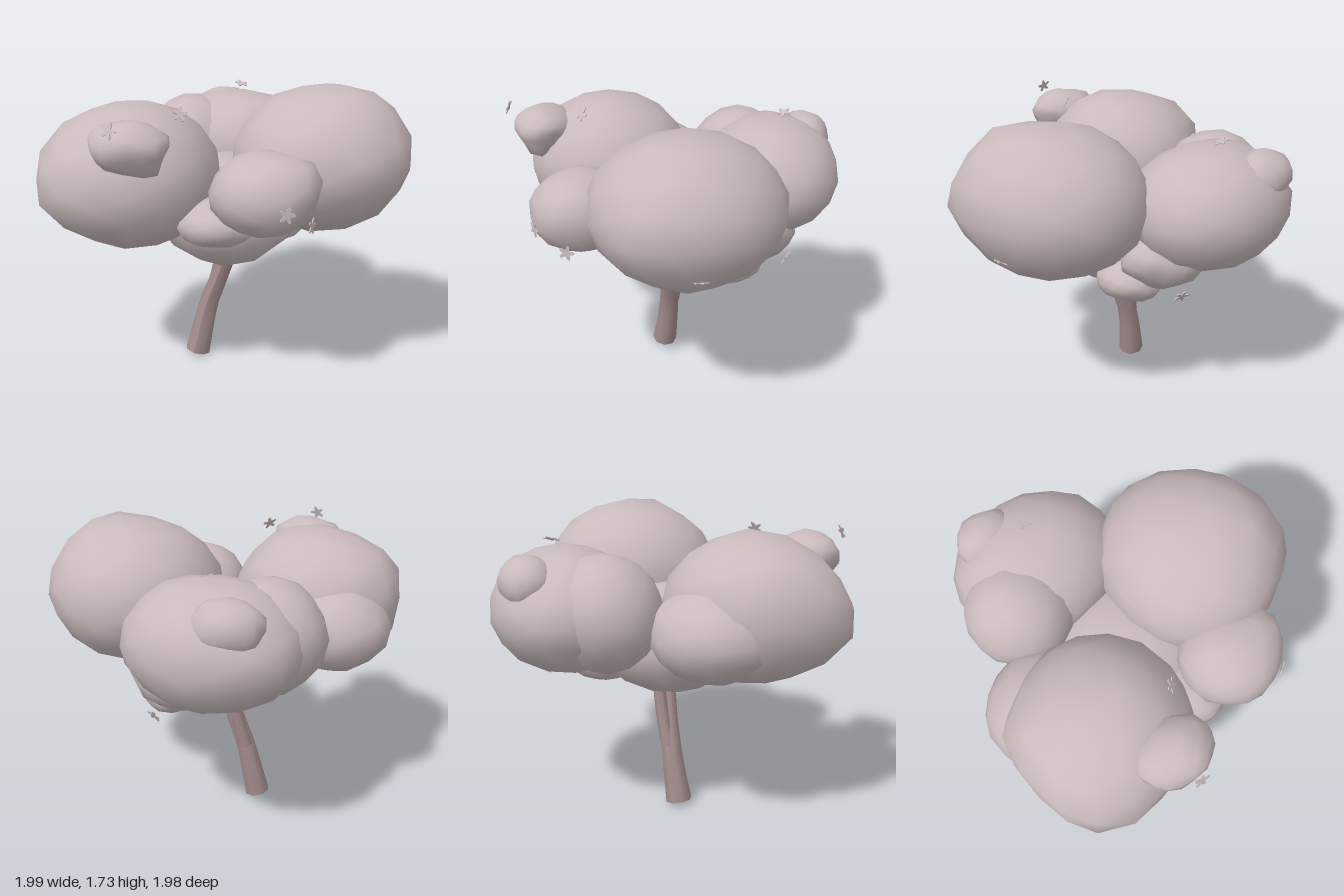
import * as THREE from 'three';
import { mergeVertices } from 'three/addons/utils/BufferGeometryUtils.js';

const mat = (name, color) => {
  const m = new THREE.MeshStandardMaterial({ color });
  m.name = name;
  return m;
};

// Leaf cloud: a coarse ellipsoid, gently lumpy, whose surface is drawn smoothly towards given points.
function cloudGeometry([cx, cy, cz], [rx, ry, rz], wobble, corners = []) {
  let g = new THREE.IcosahedronGeometry(1, 2);
  g.deleteAttribute('uv');
  g.deleteAttribute('normal');
  g = mergeVertices(g, 1e-4);
  const p = g.attributes.position;
  const v = new THREE.Vector3();
  const pulls = corners.map(([x, y, z]) => {
    const dir = new THREE.Vector3((x - cx) / rx, (y - cy) / ry, (z - cz) / rz);
    const reach = dir.length();
    return { dir: dir.normalize(), reach };
  });
  for (let i = 0; i < p.count; i++) {
    v.fromBufferAttribute(p, i).normalize();
    const base = 1.02 + wobble * Math.sin(5 * v.x + 9 * cx) * Math.cos(4 * v.y + 3 * v.z + 7 * cz);
    let sum = 0;
    let weight = 0;
    for (const { dir, reach } of pulls) {
      const w = Math.exp(-14 * (1 - dir.dot(v)));
      sum += w * (reach - base);
      weight += w;
    }
    const s = base + sum / Math.max(1, weight);
    p.setXYZ(i, cx + v.x * rx * s, cy + v.y * ry * s, cz + v.z * rz * s);
  }
  g.computeVertexNormals();
  return g;
}

// Tapered limb: a cylinder whose rings follow a curve.
function limbGeometry(points, r0, r1, sides = 8, rings = 6) {
  const curve = new THREE.CatmullRomCurve3(points.map((a) => new THREE.Vector3(...a)));
  const g = new THREE.CylinderGeometry(1, 1, 1, sides, rings);
  const p = g.attributes.position;
  const up = new THREE.Vector3(0, 1, 0);
  const q = new THREE.Quaternion();
  const v = new THREE.Vector3();
  for (let i = 0; i < p.count; i++) {
    const t = p.getY(i) + 0.5;
    const r = r1 + (r0 - r1) * (1 - t) ** 2;
    q.setFromUnitVectors(up, curve.getTangent(t));
    v.set(p.getX(i) * r, 0, p.getZ(i) * r).applyQuaternion(q).add(curve.getPoint(t));
    p.setXYZ(i, v.x, v.y, v.z);
  }
  g.computeVertexNormals();
  return g;
}

// Five-petalled blossom outline, given a slight thickness.
function blossomGeometry() {
  const shape = new THREE.Shape();
  const n = 30;
  for (let i = 0; i < n; i++) {
    const a = (i / n) * Math.PI * 2;
    const r = 0.031 + 0.014 * Math.cos(5 * a);
    if (i) shape.lineTo(r * Math.cos(a), r * Math.sin(a));
    else shape.moveTo(r, 0);
  }
  return new THREE.ExtrudeGeometry(shape, { depth: 0.006, bevelEnabled: false });
}

export function createModel() {
  const tree = new THREE.Group();
  tree.name = 'tree';
  const leaf = mat('dusty pink foliage', 0xc9babc);
  const bark = mat('brown bark', 0xa48c8c);
  const petal = mat('pale blossom', 0xcdbfc1);
  const add = (name, geometry, material) => {
    const m = new THREE.Mesh(geometry, material);
    m.name = name;
    tree.add(m);
    return m;
  };
  const addCloud = (name, ...shape) => add(name, cloudGeometry(...shape), leaf);

  // Trunk, fork and twig
  add('trunk', limbGeometry([[-0.25, 0.02, 0.05], [-0.215, 0.2, 0.03], [-0.175, 0.37, 0.02],
    [-0.1, 0.56, 0.02], [-0.01, 0.82, 0.03]], 0.078, 0.052), bark);
  add('fork', limbGeometry([[-0.185, 0.36, 0.0], [-0.15, 0.5, -0.02], [-0.12, 0.66, -0.035],
    [-0.09, 0.82, -0.04]], 0.045, 0.036), bark);
  add('twig', limbGeometry([[0.1, 0.85, 0.2], [0.22, 0.92, 0.28], [0.3, 0.98, 0.34]], 0.025, 0.015, 6, 3), bark);

  // Large leaf clouds
  addCloud('frontRightCloud', [-0.47, 1.25, 0.39], [0.47, 0.4, 0.49], 0.01, [
    [-0.79, 1.2, 0.88], [-0.45, 1.22, 0.88], [-0.93, 1.47, 0.2], [-0.94, 1.08, 0.2],
    [-0.91, 1.45, 0.6], [-0.91, 1.08, 0.62], [-0.3, 1.65, 0.45], [-0.5, 1.4, 0.85],
  ]);
  addCloud('leftCloud', [0.47, 1.31, -0.07], [0.49, 0.4, 0.53], 0.01, [
    [0.24, 1.68, -0.1], [0.76, 1.7, 0.1], [0.6, 1.69, -0.3], [0.94, 1.55, -0.05],
    [0.97, 1.36, 0.2], [0.81, 0.99, -0.05], [0.93, 1.36, -0.33],
  ]);
  addCloud('backCloud', [-0.2, 1.25, -0.58], [0.48, 0.34, 0.41], 0.02, [
    [-0.18, 1.22, -1.0], [0.22, 1.3, -0.79], [-0.6, 1.25, -0.85], [-0.2, 0.92, -0.75],
  ]);
  addCloud('baseCloud', [-0.02, 1.0, 0.04], [0.46, 0.32, 0.43], 0.01, [
    [-0.27, 0.73, 0.12], [-0.1, 0.68, 0.2], [0.42, 0.99, 0.05], [0.28, 0.83, 0.05], [-0.45, 0.86, 0.1],
  ]);

  // Smaller leaf clouds and tufts
  addCloud('frontLeftCloud', [0.315, 1.24, 0.5], [0.285, 0.22, 0.28], 0.03, [[0.6, 1.4, 0.5]]);
  addCloud('frontMiddleCloud', [0.04, 1.05, 0.46], [0.23, 0.13, 0.23], 0.05);
  addCloud('frontTopTuft', [-0.32, 1.51, 0.77], [0.21, 0.12, 0.17], 0.08, [
    [-0.18, 1.35, 0.8], [-0.4, 1.38, 0.85], [-0.11, 1.5, 0.82], [-0.52, 1.58, 0.75],
  ]);
  addCloud('backTopTuft', [-0.36, 1.43, -0.8], [0.19, 0.14, 0.15], 0.06);
  addCloud('backSideCloud', [-0.44, 1.26, -0.41], [0.31, 0.31, 0.3], 0.03);
  addCloud('rightSideCloud', [-0.64, 1.17, 0.13], [0.34, 0.25, 0.35], 0.03);
  addCloud('lowBackTuft', [0.14, 0.83, -0.32], [0.19, 0.13, 0.2], 0.06, [[0.32, 0.87, -0.25]]);
  addCloud('midBackTuft', [0.03, 1.0, -0.49], [0.27, 0.19, 0.22], 0.08);

  // Blossoms: position, then facing direction
  const blossom = blossomGeometry();
  const spots = [
    [[-0.32, 1.62, 0.97], [-0.1, 0.35, 1]],
    [[-0.14, 1.63, 0.52], [0.6, 0.5, 0.6]],
    [[-0.19, 1.62, -0.65], [0.3, 1, 0.2]],
    [[0.5, 1.21, 0.73], [0.5, 0, 0.8]],
    [[0.585, 1.11, 0.56], [1, 0, 0.2]],
    [[0.88, 1.1, -0.13], [0.4, -1, 0]],
    [[0.1, 0.82, -0.67], [0.3, -0.5, -0.8]],
  ];
  for (const [at, facing] of spots) {
    const b = add('blossom', blossom, petal);
    b.position.set(...at);
    b.lookAt(at[0] + facing[0], at[1] + facing[1], at[2] + facing[2]);
  }
  return tree;
}
